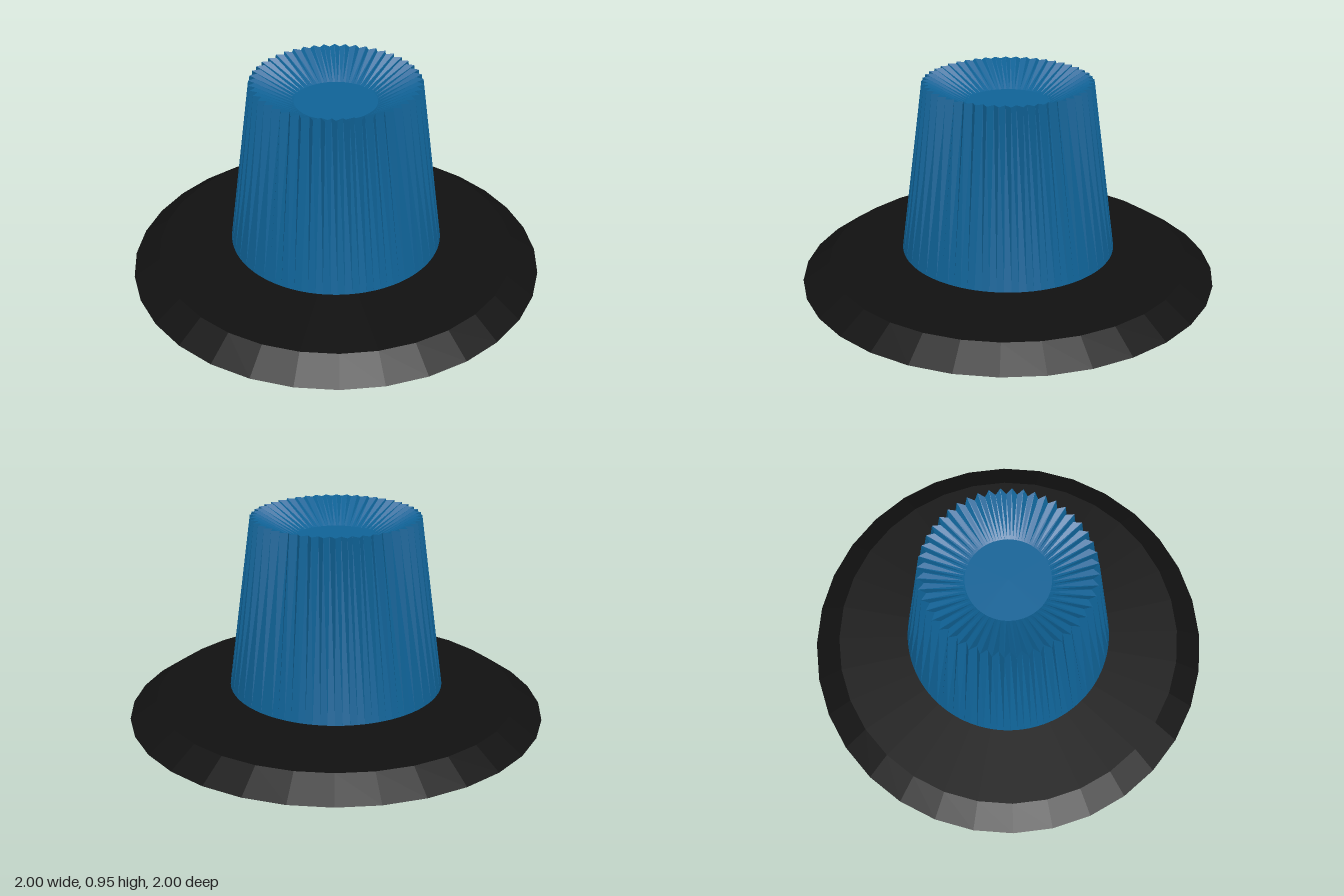
import * as THREE from 'three';

const v = (x, y) => new THREE.Vector2(x, y);

function addLathe(group, name, profile, segments, color, reshape) {
  const geo = new THREE.LatheGeometry(profile, segments);
  if (reshape) reshape(geo.attributes.position);
  const flat = geo.toNonIndexed();
  flat.computeVertexNormals();
  const mesh = new THREE.Mesh(flat, new THREE.MeshStandardMaterial({ color, flatShading: true }));
  mesh.name = name;
  group.add(mesh);
}

export function createModel() {
  const group = new THREE.Group();
  group.name = 'pleatedButton';
  const black = 0x111111, blue = 0x0f6296;

  // Wide bevelled base plate
  addLathe(group, 'basePlate', [v(0, 0), v(1, 0), v(0.87, 0.085), v(0, 0.085)], 32, black);

  // Short neck between base and cap
  addLathe(group, 'neck', [v(0.28, 0.08), v(0.28, 0.13)], 32, black);

  // Tapered cap with a dished top
  const profile = [v(0, 0.125), v(0.515, 0.125), v(0.4, 0.955), v(0.195, 0.85), v(0, 0.85)];
  const pleats = 48, rim = 2, rimValley = 0.37 / 0.4;
  addLathe(group, 'pleatedCap', profile, pleats * 2, blue, (pos) => {
    // Pull every second rim point inward: pleats deepen from the round foot to the rim
    for (let i = 1; i < pleats * 2; i += 2) {
      const k = i * profile.length + rim;
      pos.setX(k, pos.getX(k) * rimValley);
      pos.setZ(k, pos.getZ(k) * rimValley);
    }
  });

  return group;
}
